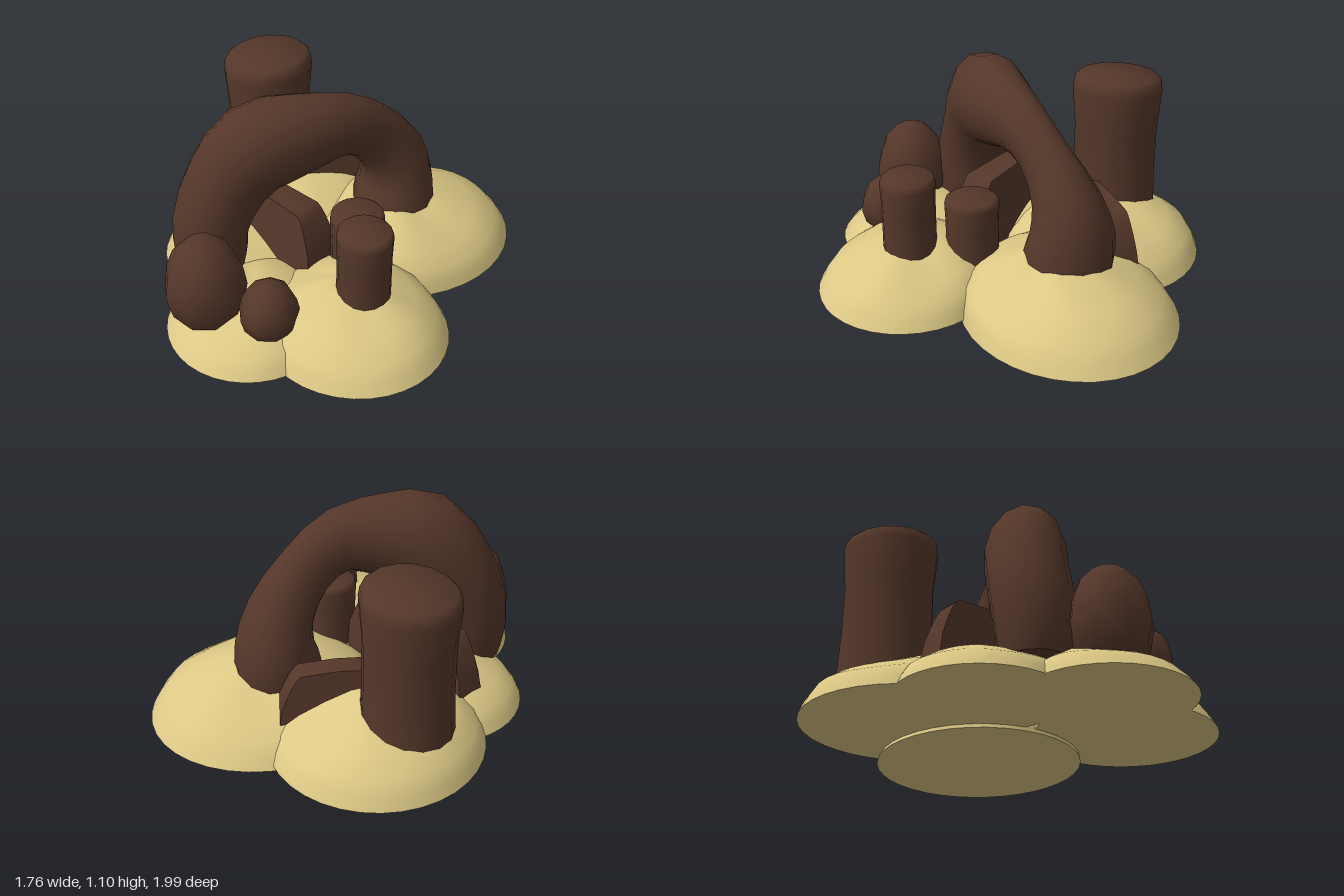
import * as THREE from 'three';
import { mergeVertices, toCreasedNormals } from 'three/addons/utils/BufferGeometryUtils.js';

const sand = new THREE.MeshStandardMaterial({ color: 0xdcc885 });
const rock = new THREE.MeshStandardMaterial({ color: 0x55372a });

function add(group, name, geometry, material) {
  const mesh = new THREE.Mesh(geometry, material);
  mesh.name = name;
  group.add(mesh);
  return mesh;
}

// Move every vertex by a rule
function warp(geometry, rule) {
  const p = geometry.attributes.position, v = new THREE.Vector3();
  for (let i = 0; i < p.count; i++) {
    rule(v.fromBufferAttribute(p, i));
    p.setXYZ(i, v.x, v.y, v.z);
  }
  return geometry;
}

// Smooth shading with crisp edges above the given angle
function shade(geometry, angle = 0.8) {
  geometry.deleteAttribute('uv');
  geometry.deleteAttribute('normal');
  return toCreasedNormals(mergeVertices(geometry, 1e-4), angle);
}

// Flat-bottomed dome with a steep rim and an off-centre, slightly uneven top
function mound(rx, rz, height, leanX, leanZ, seed) {
  const profile = [[0, 0], [1, 0], [0.96, 0.18], [0.89, 0.39], [0.71, 0.61], [0.48, 0.8], [0.25, 0.95], [0, 1]]
    .map(([r, y]) => new THREE.Vector2(r, y));
  return shade(warp(new THREE.LatheGeometry(profile, 36), v => {
    const a = Math.atan2(v.z, v.x), h = v.y, r = Math.hypot(v.x, v.z);
    const bump = 1 + 0.09 * r * Math.sin(3 * a + seed) + 0.05 * r * Math.sin(5 * a + 2 * seed);
    v.set(v.x * rx + leanX * h, h * height * bump, v.z * rz + leanZ * h);
  }), 0.7);
}

// Rock column with a waist, small rim bevel and gently tilted top
function column(radius, bottom, top, waist, tilt) {
  const h = top - bottom;
  const profile = [[0, 0], [0.98, 0], [waist, 0.35], [waist, 0.65], [1, 0.91], [0.97, 0.965], [0.88, 0.99], [0, 1]]
    .map(([r, t]) => new THREE.Vector2(r * radius, bottom + t * h));
  return shade(warp(new THREE.LatheGeometry(profile, 16), v => {
    v.y += tilt * v.x * (v.y - bottom) / h;
  }));
}

// Egg-shaped boulder, widest below the middle
function boulder(rx, rz, bottom, top) {
  const profile = [[0, 0], [0.6, 0.01], [0.87, 0.15], [1, 0.4], [0.92, 0.62], [0.73, 0.82], [0.4, 0.96], [0, 1]]
    .map(([r, t]) => new THREE.Vector2(r, bottom + t * (top - bottom)));
  const g = new THREE.LatheGeometry(profile, 9);
  g.scale(rx, 1, rz);
  return shade(g, 1.0);
}

// Upright slab with sloping ends, thinner toward its top and toward one end
function slab(length, height, thickness, taper) {
  const s = new THREE.Shape(), l = length / 2;
  s.moveTo(-l, 0);
  s.lineTo(l, 0);
  s.lineTo(l - 0.03, height * 0.45);
  s.quadraticCurveTo(l - 0.09, height * 0.92, l - 0.13, height * 0.97);
  s.lineTo(0, height);
  s.lineTo(0.13 - l, height * 0.97);
  s.quadraticCurveTo(0.09 - l, height * 0.92, 0.03 - l, height * 0.45);
  const g = new THREE.ExtrudeGeometry(s, { depth: thickness, bevelEnabled: false, curveSegments: 4 });
  g.translate(0, 0, -thickness / 2);
  return shade(warp(g, v => { v.z *= (1.15 - 0.45 * v.y / height) * (1 + taper * v.x / l); }));
}

// Arch swept along a curve with oval sections; stations: x, y, z, half width, half depth
function arch() {
  const stations = [
    [-0.48, 0.13, 0.37, 0.17, 0.16], [-0.48, 0.26, 0.37, 0.19, 0.19], [-0.48, 0.43, 0.35, 0.2, 0.2],
    [-0.41, 0.65, 0.28, 0.2, 0.22], [-0.27, 0.835, 0.19, 0.21, 0.255], [-0.11, 0.88, 0.07, 0.18, 0.22],
    [0.06, 0.88, -0.08, 0.13, 0.175], [0.16, 0.77, -0.24, 0.12, 0.155], [0.23, 0.58, -0.38, 0.17, 0.175],
    [0.25, 0.4, -0.42, 0.22, 0.2], [0.25, 0.25, -0.4, 0.235, 0.225], [0.25, 0.1, -0.4, 0.21, 0.2],
  ];
  const path = new THREE.CatmullRomCurve3(stations.map(s => new THREE.Vector3(s[0], s[1], s[2])));
  const size = new THREE.CatmullRomCurve3(stations.map((s, i) => new THREE.Vector3(s[3], s[4], i * 0.1)));
  const side = new THREE.Vector3(0.72, 0, 0.69).normalize();
  const rings = 22, n = 14, pos = [], index = [];
  for (let i = 0; i <= rings; i++) {
    const t = i / rings, c = path.getPoint(t), r = size.getPoint(t);
    const up = new THREE.Vector3().crossVectors(side, path.getTangent(t)).normalize();
    for (let j = 0; j < n; j++) {
      const a = j / n * Math.PI * 2;
      const p = c.clone().addScaledVector(side, r.x * Math.cos(a)).addScaledVector(up, r.y * Math.sin(a));
      pos.push(p.x, p.y, p.z);
      if (i < rings) {
        const q = i * n + j, k = i * n + (j + 1) % n;
        index.push(q, q + n, k, k, q + n, k + n);
      }
    }
  }
  // Buried feet
  for (let j = 1; j < n - 1; j++) {
    index.push(0, j, j + 1);
    index.push(rings * n, rings * n + j + 1, rings * n + j);
  }
  const g = new THREE.BufferGeometry();
  g.setAttribute('position', new THREE.Float32BufferAttribute(pos, 3));
  g.setIndex(index);
  return shade(g, 1.1);
}

export function createModel() {
  const model = new THREE.Group();
  model.name = 'rockFormation';

  // Overlapping sand mounds: name, x, y, z, turn, rx, rz, height, lean x, lean z
  [
    ['backLeftMound', 0.31, 0, -0.425, -Math.PI / 4, 0.54, 0.605, 0.33, 0.04, 0.08],
    ['backRightMound', -0.33, 0.02, -0.42, 0, 0.55, 0.55, 0.32, 0, 0.02],
    ['sideMound', -0.46, 0.02, 0.07, 0, 0.42, 0.42, 0.25, 0.03, 0],
    ['frontMound', -0.17, 0.02, 0.57, 0, 0.43, 0.425, 0.22, 0, -0.06],
    ['frontLeftMound', 0.34, 0.02, 0.425, 0, 0.485, 0.465, 0.29, -0.07, -0.04],
  ].forEach(([name, x, y, z, turn, ...dims], i) => {
    const mesh = add(model, name, mound(...dims, i * 1.7), sand);
    mesh.position.set(x, y, z);
    mesh.rotation.y = turn;
  });

  add(model, 'rockArch', arch(), rock);

  // Standing columns
  add(model, 'tallColumn', column(0.24, 0.15, 0.97, 0.93, 0.08), rock).position.set(-0.515, 0, -0.455);
  add(model, 'frontColumn', column(0.14, 0.2, 0.66, 0.97, -0.02), rock).position.set(0.375, 0, 0.395);
  add(model, 'middleColumn', column(0.14, 0.12, 0.515, 0.97, 0.02), rock).position.set(0.23, 0, 0.11);

  // Boulders at the front
  add(model, 'largeBoulder', boulder(0.21, 0.205, 0.08, 0.59), rock).position.set(-0.355, 0, 0.68);
  add(model, 'smallBoulder', boulder(0.15, 0.155, 0.12, 0.42), rock).position.set(-0.01, 0, 0.68);

  // Leaning slabs
  const back = add(model, 'backSlab', slab(0.62, 0.34, 0.16, 0), rock);
  back.position.set(-0.14, 0.09, -0.475);
  back.rotation.y = 0.66;
  const middle = add(model, 'middleSlab', slab(0.84, 0.4, 0.19, 0.22), rock);
  middle.position.set(-0.3, 0.1, 0.06);
  middle.rotation.y = -0.34;

  return model;
}
